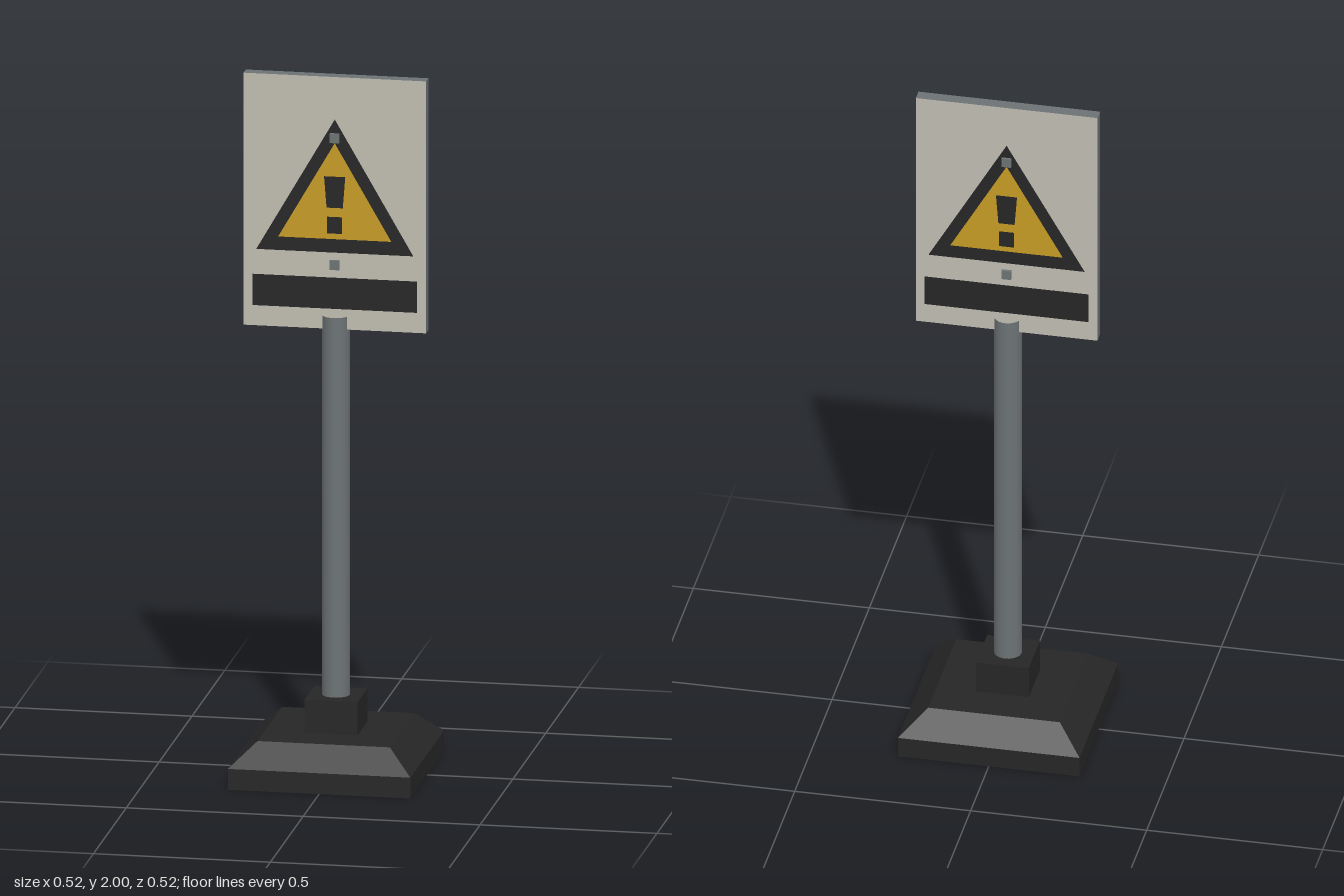
import * as THREE from 'three';

const mat = (name, color) => {
  const m = new THREE.MeshStandardMaterial({ color });
  m.name = name;
  return m;
};

export function createModel() {
  const black = mat('black', 0x262626);
  const steel = mat('steel grey', 0x6c7274);
  const white = mat('warm white', 0xc0bcb1);
  const yellow = mat('warning yellow', 0xc69c24);

  const model = new THREE.Group();
  model.name = 'warningSign';
  const add = (parent, name, geometry, material, x = 0, y = 0, z = 0) => {
    const mesh = new THREE.Mesh(geometry, material);
    mesh.name = name;
    mesh.position.set(x, y, z);
    parent.add(mesh);
    return mesh;
  };

  // Square foot with sloped shoulders, pole socket and hollowed underside
  const profile = [[0, 0.03], [0.187, 0.03], [0.258, 0], [0.258, 0.06],
    [0.187, 0.125], [0.075, 0.125], [0.075, 0.22], [0, 0.22]];
  const points = profile.map(([half, y]) => new THREE.Vector2(half * Math.SQRT2, y));
  const foot = new THREE.LatheGeometry(points, 4, Math.PI / 4).toNonIndexed();
  foot.computeVertexNormals();
  add(model, 'base', foot, black);

  // Open tube pole
  add(model, 'pole', new THREE.CylinderGeometry(0.039, 0.039, 1.092, 24, 1, true), steel, 0, 0.766, 0);

  // Panel: grey edges, white front and back
  const panelDepth = 0.035;
  add(model, 'panel', new THREE.BoxGeometry(0.516, 0.725, panelDepth),
    [steel, steel, steel, steel, white, white], 0, 1.6375, 0);

  // Painted markings, the same on both sides
  const flat = (...xy) => new THREE.ShapeGeometry(
    new THREE.Shape(xy.map(([x, y]) => new THREE.Vector2(x, y))));
  const rect = (half, y0, y1) => flat([-half, y0], [half, y0], [half, y1], [-half, y1]);
  for (const side of ['front', 'back']) {
    const face = new THREE.Group();
    face.name = side + 'Markings';
    if (side === 'back') face.rotation.y = Math.PI;
    const z = panelDepth / 2;
    add(face, 'triangleBorder', flat([-0.222, 1.495], [0.222, 1.495], [0, 1.878]), black, 0, 0, z + 0.001);
    add(face, 'triangleField', flat([-0.16, 1.534], [0.16, 1.534], [0, 1.81]), yellow, 0, 0, z + 0.002);
    add(face, 'exclamationStroke',
      flat([-0.023, 1.624], [0.023, 1.624], [0.03, 1.714], [-0.03, 1.714]), black, 0, 0, z + 0.003);
    add(face, 'exclamationDot', rect(0.021, 1.55, 1.598), black, 0, 0, z + 0.003);
    add(face, 'captionBar', rect(0.233, 1.333, 1.423), black, 0, 0, z + 0.001);
    model.add(face);
  }

  // Square bolts through the panel
  for (const y of [1.825, 1.46]) {
    add(model, 'bolt', new THREE.BoxGeometry(0.027, 0.027, 0.052), steel, 0, y, 0);
  }
  return model;
}
